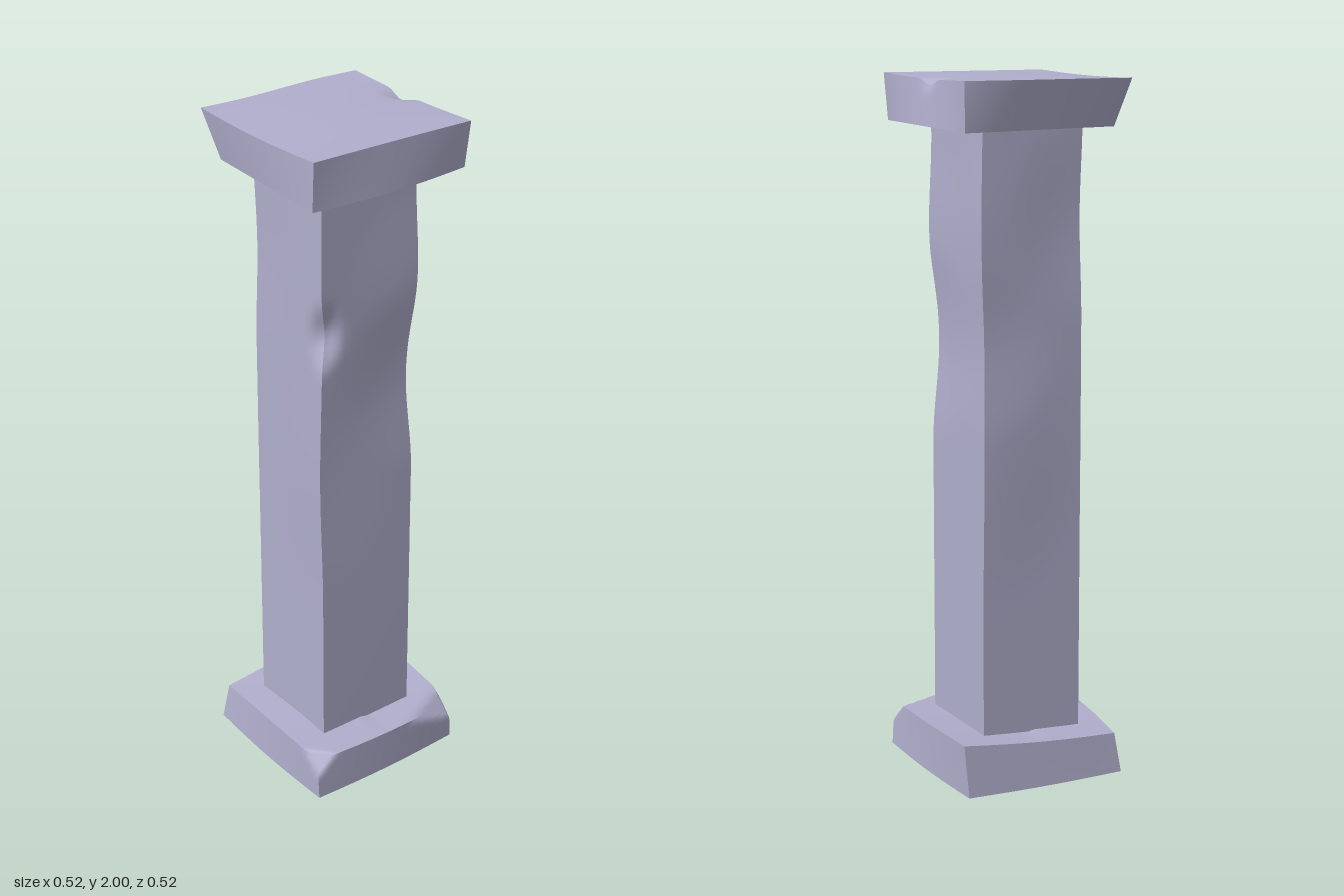
import * as THREE from 'three';

const smooth = t => t * t * (3 - 2 * t);

// Box of six creased faces stretched over eight corners, then bent by a rule and chipped.
// corners: bottom then top, each ordered (-x,-z) (+x,-z) (+x,+z) (-x,+z)
function stoneBlock(name, material, corners, segs, bend, chips = []) {
  const geo = new THREE.BoxGeometry(1, 1, 1, ...segs);
  const pos = geo.attributes.position;
  const c = corners.map(a => new THREE.Vector3(...a));
  const p = new THREE.Vector3();
  for (let i = 0; i < pos.count; i++) {
    const u = pos.getX(i) + 0.5, v = pos.getY(i) + 0.5, w = pos.getZ(i) + 0.5;
    const layer = k => {
      const back = c[k].clone().lerp(c[k + 1], u);
      return back.lerp(c[k + 3].clone().lerp(c[k + 2], u), w);
    };
    p.copy(layer(0)).lerp(layer(4), v);
    bend(p, u, v, w);
    for (const [corner, len] of chips) cutCorner(p, corner, len);
    pos.setXYZ(i, p.x, p.y, p.z);
  }
  geo.computeVertexNormals();
  const mesh = new THREE.Mesh(geo, material);
  mesh.name = name;
  return mesh;
}

// Flatten everything outside the plane that cuts a corner at the given lengths
function cutCorner(p, corner, len) {
  const n = new THREE.Vector3(
    Math.sign(corner[0]) / len[0], 1 / len[1], Math.sign(corner[2]) / len[2]);
  const over = n.dot(p.clone().sub(new THREE.Vector3(...corner))) + 1;
  if (over > 0) p.addScaledVector(n, -over / n.lengthSq());
}

// Soft dent: push points near a centre
function dent(p, centre, radius, push) {
  const d = Math.hypot(...['x', 'y', 'z'].map((a, i) => (p[a] - centre[i]) / radius[i]));
  if (d >= 1) return;
  const k = smooth(1 - d);
  p.x += push[0] * k; p.y += push[1] * k; p.z += push[2] * k;
}

export function createModel() {
  const group = new THREE.Group();
  group.name = 'stonePillar';
  const stone = new THREE.MeshStandardMaterial({ color: 0xb0aecc });
  stone.name = 'lavender stone';

  // Base slab with bulging sides and two broken corners
  group.add(stoneBlock('base', stone, [
    [-0.25, 0.012, -0.24], [0.245, 0.012, -0.25], [0.25, 0.005, 0.245], [-0.255, 0.005, 0.25],
    [-0.24, 0.165, -0.25], [0.25, 0.145, -0.24], [0.248, 0.142, 0.25], [-0.24, 0.12, 0.235],
  ], [24, 10, 24], (p, u, v, w) => {
    const bu = Math.sin(Math.PI * u), bw = Math.sin(Math.PI * w);
    p.x += (u - 0.5) * 0.016 * bw;
    p.z += (w - 0.5) * 0.016 * bu;
    p.y += v * 0.012 * (bu * (w > 0.5 ? 1 : 0.2) - 0.3 * bw) - (1 - v) * 0.005 * bu * bw;
  }, [
    [[0.25, 0.145, 0.25], [0.07, 0.075, 0.07]],
    [[0.25, 0.145, -0.25], [0.07, 0.065, 0.17]],
  ]));

  // Slightly wavering shaft with a bite out of one edge
  group.add(stoneBlock('shaft', stone, [
    [-0.163, 0.1, -0.15], [0.155, 0.1, -0.15], [0.155, 0.1, 0.16], [-0.16, 0.1, 0.16],
    [-0.163, 1.9, -0.15], [0.153, 1.9, -0.15], [0.152, 1.9, 0.16], [-0.163, 1.9, 0.158],
  ], [12, 90, 12], (p, u, v, w) => {
    dent(p, [0.15, 1.25, -0.15], [0.3, 0.3, 0.3], [-0.012, 0, 0.015]);
    dent(p, [0.15, 1.58, -0.15], [0.25, 0.25, 0.25], [0.006, 0, -0.006]);
    dent(p, [-0.16, 1.6, -0.15], [0.25, 0.3, 0.25], [-0.004, 0, -0.006]);
    dent(p, [-0.16, 1.25, -0.15], [0.25, 0.25, 0.25], [0.008, 0, 0.006]);
    dent(p, [-0.16, 1.62, 0.16], [0.25, 0.3, 0.25], [0.009, 0, -0.003]);
    dent(p, [-0.16, 1.0, -0.1], [0.3, 0.5, 0.3], [-0.01, 0, 0]);
    dent(p, [0.155, 1.0, 0.16], [0.3, 0.4, 0.3], [-0.006, 0, 0.004]);
    dent(p, [0.155, 1.44, 0.16], [0.07, 0.12, 0.07], [-0.03, 0, -0.03]);
  }));

  // Capital slab, one front corner undercut, with a small nick in the back edge
  group.add(stoneBlock('capital', stone, [
    [-0.25, 1.862, -0.245], [0.235, 1.868, -0.245], [0.24, 1.862, 0.25], [-0.2, 1.862, 0.235],
    [-0.25, 1.997, -0.247], [0.25, 2, -0.25], [0.246, 1.998, 0.25], [-0.257, 1.995, 0.257],
  ], [24, 8, 24], (p, u, v, w) => {
    const bu = Math.sin(Math.PI * u), bw = Math.sin(Math.PI * w);
    const wave = Math.sin(2 * Math.PI * w);
    if (u < 0.5) p.x -= (1 - 2 * u) * 0.006 * wave * v;
    else p.x += (2 * u - 1) * bw * (0.016 * (1 - v) - 0.002 * v);
    if (w < 0.5) p.z -= (1 - 2 * w) * bu * (0.014 * (1 - v) - 0.004 * v);
    else p.z += (2 * w - 1) * bu * 0.004;
    p.y -= v * 0.005 * bu * (1 - bw) - (1 - v) * 0.003 * bu;
    dent(p, [-0.03, 2, -0.25], [0.07, 0.05, 0.06], [0, -0.018, 0.006]);
  }));

  return group;
}
